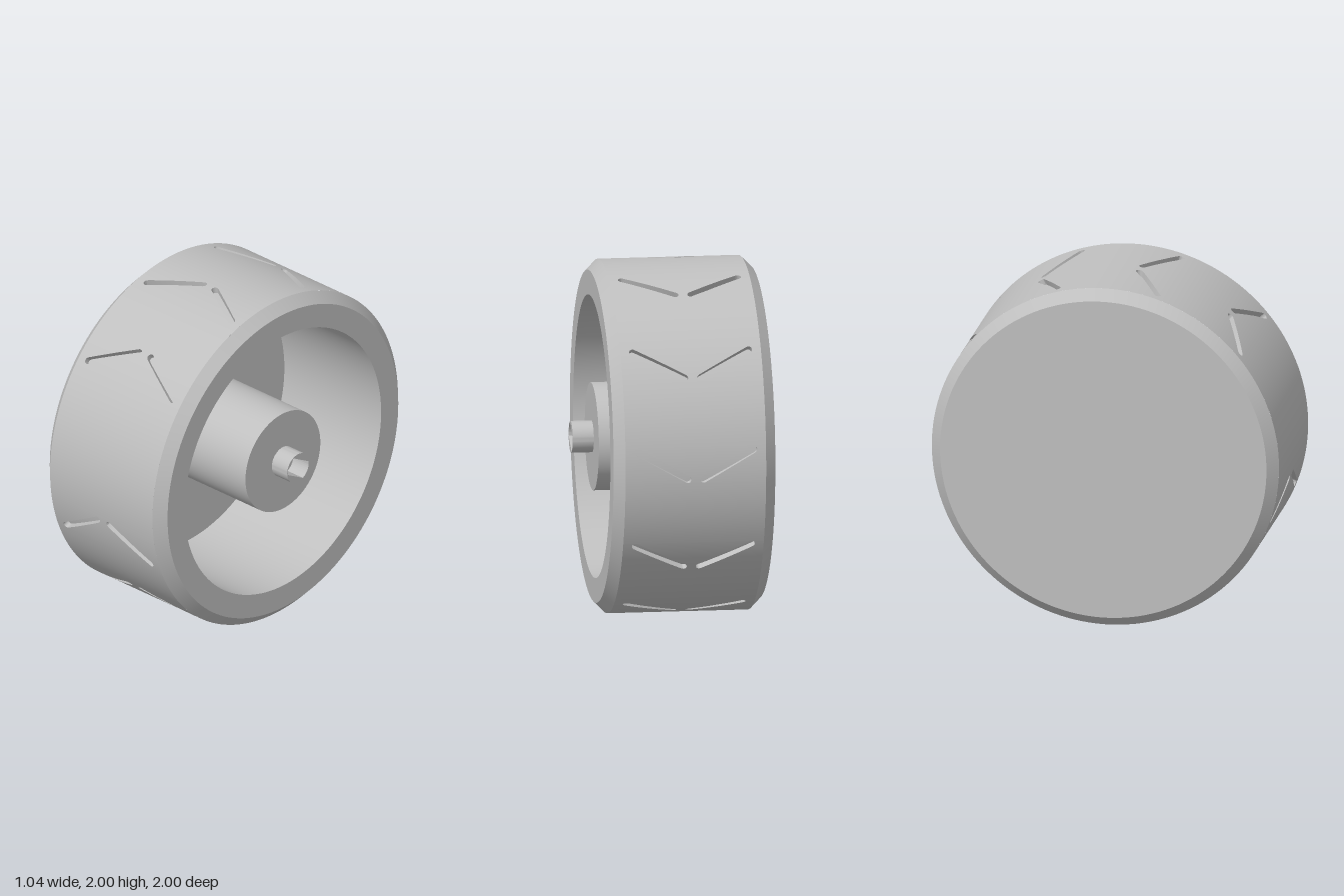
import * as THREE from 'three';
import { toCreasedNormals } from 'three/addons/utils/BufferGeometryUtils.js';

const BACK = -0.52, FRONT = 0.40, CHAMFER = 0.06, R = 1;
const MID = (BACK + FRONT) / 2;
const SLOT = { tail: -0.39, apex: -0.105, half: 0.082, r: 0.02, depth: 0.035 };
const T = SLOT.half + SLOT.r;

// x-range of one slanted, round-ended slot at tangential offset t
function slotRange(t) {
  let lo = Infinity, hi = -Infinity;
  for (let i = 0; i <= 120; i++) {
    const s = i / 120;
    const x = THREE.MathUtils.lerp(SLOT.tail, SLOT.apex, s);
    const d = t - THREE.MathUtils.lerp(-SLOT.half, SLOT.half, s);
    if (Math.abs(d) > SLOT.r + 1e-9) continue;
    const w = Math.sqrt(Math.max(0, SLOT.r * SLOT.r - d * d));
    lo = Math.min(lo, x - w);
    hi = Math.max(hi, x + w);
  }
  return [lo, hi];
}

// Cross-section of the tread at one angle, dipping into both slots of a pair
function treadRow(phi, t) {
  const [a, b] = slotRange(t);
  const c = 2 * MID - b, d = 2 * MID - a, low = R - SLOT.depth;
  const profile = [[BACK + CHAMFER, R], [a, R], [a, low], [b, low], [b, R],
    [c, R], [c, low], [d, low], [d, R], [FRONT - CHAMFER, R]];
  return {
    closed: Math.abs(t) > T - 1e-6,
    points: profile.map(([x, r]) => [x, r * Math.sin(phi), r * Math.cos(phi)]),
  };
}

function treadGeometry() {
  const rows = [], count = 10, steps = 28;
  const start = Math.PI / 4, pitch = THREE.MathUtils.degToRad(100 / 3);
  for (let i = 0; i < count; i++) {
    const phi = start + i * pitch;
    // rows through the slot pair, denser at its rounded ends
    for (let k = 0; k <= steps; k++) {
      const t = -T * Math.cos(Math.PI * k / steps);
      rows.push(treadRow(phi + t, t));
    }
    // plain rows up to the next pair
    const next = i < count - 1 ? phi + pitch : start + 2 * Math.PI;
    const gap = next - phi - 2 * T, n = Math.ceil(gap / 0.04);
    for (let k = 1; k < n; k++) rows.push(treadRow(phi + T + gap * k / n, T));
  }
  rows.push(rows[0]);
  const pos = [];
  for (let j = 0; j < rows.length - 1; j++) {
    const p = rows[j], q = rows[j + 1];
    for (let i = 0; i < 9; i++) {
      if (i % 4 !== 0 && p.closed && q.closed) continue;
      const [a, b, c, d] = [p.points[i], p.points[i + 1], q.points[i + 1], q.points[i]];
      pos.push(...a, ...b, ...c, ...a, ...c, ...d);
    }
  }
  const g = new THREE.BufferGeometry();
  g.setAttribute('position', new THREE.Float32BufferAttribute(pos, 3));
  return toCreasedNormals(g, 0.4);
}

// Turned part around the x axis from [radius, x] points
function turned(points) {
  const g = new THREE.LatheGeometry(points.map(([r, x]) => new THREE.Vector2(r, x)), 144);
  g.rotateZ(-Math.PI / 2);
  return toCreasedNormals(g, 0.4);
}

// Axle stub with a flat-sided socket
function stubGeometry() {
  const shape = new THREE.Shape().absarc(0, 0, 0.09, 0, Math.PI * 2, false);
  const r = 0.085, b = Math.asin(0.05 / r), tilt = THREE.MathUtils.degToRad(-28.4);
  const hole = new THREE.Path();
  hole.absarc(0, 0, r, tilt - b, tilt + b, false);
  hole.absarc(0, 0, r, tilt + Math.PI - b, tilt + Math.PI + b, false);
  hole.closePath();
  shape.holes.push(hole);
  const g = new THREE.ExtrudeGeometry(shape, { depth: 0.12, bevelEnabled: false, curveSegments: 32 });
  g.rotateY(Math.PI / 2);
  g.translate(FRONT, 0, 0);
  return toCreasedNormals(g, 0.4);
}

export function createModel() {
  const model = new THREE.Group();
  model.name = 'wheel';
  const grey = new THREE.MeshStandardMaterial({ color: 0xbfbfbf });
  grey.name = 'grey';
  const add = (name, geometry) => {
    const mesh = new THREE.Mesh(geometry, grey);
    mesh.name = name;
    mesh.position.y = R;
    model.add(mesh);
  };

  const rim = R - CHAMFER, bore = 0.8, hub = 0.305, floor = -0.355;
  add('tread', treadGeometry());
  add('backFace', turned([[0, BACK], [rim, BACK], [R, BACK + CHAMFER]]));
  add('frontRim', turned([[R, FRONT - CHAMFER], [rim, FRONT], [bore, FRONT]]));
  add('cavity', turned([[bore, FRONT], [bore, floor], [hub, floor]]));
  add('hub', turned([[hub, floor], [hub, FRONT], [0, FRONT]]));
  add('axleStub', stubGeometry());
  return model;
}
